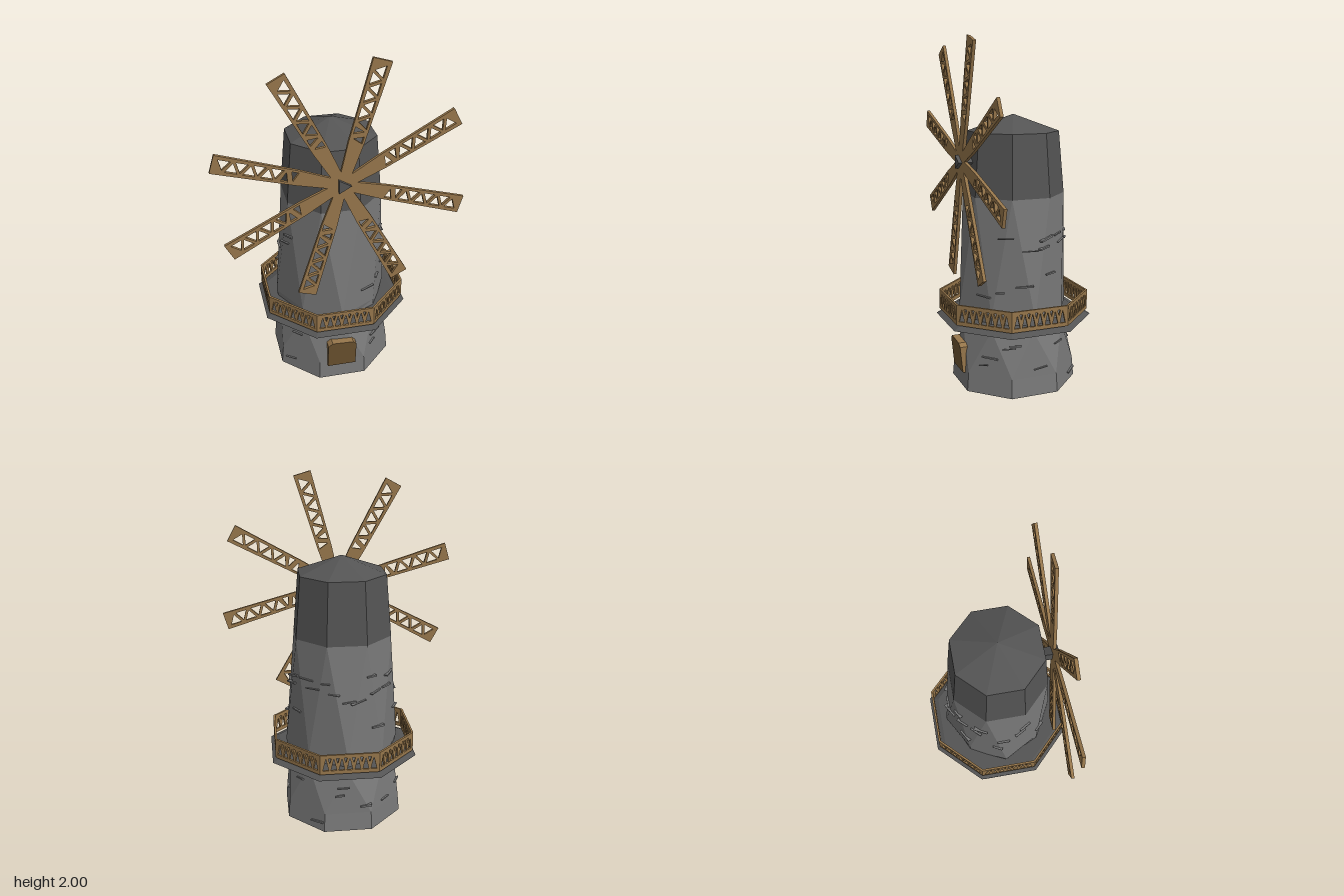
import * as THREE from 'three';

const flat = (name, color) => {
  const m = new THREE.MeshStandardMaterial({ color, flatShading: true });
  m.name = name;
  return m;
};

// Octagonal walls through rings [y, axisRadius, diagonalRadius, turn]; turn 0.5 puts a flat side forward
function ringWalls(rings) {
  const pos = [];
  const pt = ([y, ra, rd, turn], i) => {
    const a = (i + turn) * Math.PI / 4, r = i % 2 ? rd : ra;
    return [Math.sin(a) * r, y, Math.cos(a) * r];
  };
  const tri = (a, b, c) => pos.push(...a, ...b, ...c);
  for (let k = 0; k + 1 < rings.length; k++) {
    const lo = rings[k], hi = rings[k + 1];
    for (let i = 0; i < 8; i++) {
      const a = pt(lo, i), b = pt(lo, i + 1), c = pt(hi, i + 1), d = pt(hi, i);
      if (hi[3] > lo[3]) { tri(a, b, d); tri(b, c, d); }
      else { tri(a, b, c); tri(a, c, d); }
    }
  }
  for (let i = 0; i < 8; i++) tri(pt(rings[0], i + 1), pt(rings[0], i), [0, rings[0][0], 0]);
  const g = new THREE.BufferGeometry();
  g.setAttribute('position', new THREE.Float32BufferAttribute(pos, 3));
  g.computeVertexNormals();
  return g;
}

const octagon = (rTop, rBottom, h, y) =>
  new THREE.CylinderGeometry(rTop, rBottom, h, 8, 1, false, Math.PI / 8).translate(0, y + h / 2, 0);

const polygon = (points, Type = THREE.Shape) => new Type(points.map(([x, y]) => new THREE.Vector2(x, y)));

// Plate extruded along z, centred on its thickness
const plate = (shape, depth) =>
  new THREE.ExtrudeGeometry(shape, { depth, bevelEnabled: false }).translate(0, 0, -depth / 2);

export function createModel() {
  const model = new THREE.Group();
  model.name = 'windmill';
  const stone = flat('stone', 0x787878);
  const slate = flat('darkSlate', 0x545454);
  const wood = flat('wood', 0x96764b);
  const doorWood = flat('doorWood', 0x6c5330);

  const add = (name, geometry, material, parent = model) => {
    const mesh = new THREE.Mesh(geometry, material);
    mesh.name = name;
    parent.add(mesh);
    return mesh;
  };
  const group = (name) => {
    const g = new THREE.Group();
    g.name = name;
    model.add(g);
    return g;
  };

  // Faceted stone tower
  const tower = add('tower', ringWalls([
    [0, 0.365, 0.365, 0.5],
    [0.11, 0.355, 0.355, 0.5],
    [0.37, 0.315, 0.305, 0],
    [0.45, 0.335, 0.305, 0],
    [1.12, 0.292, 0.292, 0.5],
  ]), stone);

  // Dark cap and low roof
  add('cap', octagon(0.262, 0.293, 0.355, 1.12), slate);
  add('roof', octagon(0, 0.262, 0.095, 1.475), slate);

  // Gallery floor, thickest at the tower
  add('galleryTop', octagon(0.4, 0.458, 0.025, 0.385), slate);
  add('galleryUnderside', octagon(0.458, 0.37, 0.03, 0.355), slate);

  // Railing: eight lattice panels with triangular gaps
  const half = 0.168, railHeight = 0.118;
  const panel = polygon([[-half, 0], [half, 0], [half, railHeight], [-half, railHeight]]);
  const bays = 7, step = (half * 2 - 0.02) / bays;
  for (let i = 0; i < bays; i++) {
    const x = -half + 0.01 + (i + 0.5) * step;
    panel.holes.push(polygon([[x - 0.017, 0.022], [x, 0.096], [x + 0.017, 0.022]], THREE.Path));
    if (i < bays - 1) {
      const m = x + step / 2;
      panel.holes.push(polygon([[m - 0.009, 0.098], [m + 0.009, 0.098], [m, 0.066]], THREE.Path));
    }
  }
  const panelGeometry = plate(panel, 0.012).translate(0, 0.415, 0.4);
  const railing = group('railing');
  for (let i = 0; i < 8; i++) {
    add('railingPanel', panelGeometry, wood, railing).rotation.y = i * Math.PI / 4;
  }

  // Eight lattice sails around the axle
  const sail = polygon([[0, -0.026], [0.25, -0.043], [0.705, -0.052], [0.705, 0.052], [0.25, 0.043], [0, 0.026]]);
  for (let i = 0; i < 9; i++) {
    const x = 0.27 + i * 0.047, s = i % 2 ? 1 : -1, w = i < 2 ? 0.02 : 0.033;
    sail.holes.push(polygon([[x - w, s * 0.031], [x + w, s * 0.031], [x, -s * 0.024]], THREE.Path));
  }
  const sailGeometry = plate(sail, 0.018);
  const sails = group('sails');
  sails.position.set(-0.005, 1.308, 0.311);
  for (let i = 0; i < 8; i++) {
    add('sail', sailGeometry, wood, sails).rotation.z = THREE.MathUtils.degToRad(73.6) + i * Math.PI / 4;
  }
  add('axle', new THREE.CylinderGeometry(0.045, 0.04, 0.11, 3).rotateX(Math.PI / 2).rotateZ(Math.PI / 2), slate, sails)
    .position.z = -0.025;

  // Door: dark front, lighter edges
  const doorShape = polygon([[-0.09, 0.09], [0.08, 0.09], [0.08, 0.245], [0.06, 0.266], [-0.065, 0.272], [-0.09, 0.25]]);
  const doorGeometry = plate(doorShape, 0.05);
  const dp = doorGeometry.attributes.position;
  for (let i = 0; i < dp.count; i++) {
    // the door leans out slightly toward its top
    dp.setZ(i, dp.getZ(i) + 0.31 + 0.1 * dp.getY(i));
  }
  doorGeometry.computeVertexNormals();
  add('door', doorGeometry, [doorWood, wood]);

  // Thin stone slivers jutting from the wall
  let seed = 7;
  const random = () => (seed = (seed * 16807) % 2147483647) / 2147483647;
  const slivers = group('stoneSlivers');
  const ray = new THREE.Raycaster();
  tower.updateMatrixWorld();
  for (let i = 0; i < 40; i++) {
    const upper = i % 5 < 3;
    const angle = 0.6 + ((i * 0.618) % 1) * (Math.PI * 2 - 1.2);
    const y = upper ? 0.56 + random() * 0.37 : 0.03 + random() * 0.27;
    const out = new THREE.Vector3(Math.sin(angle), 0, Math.cos(angle));
    ray.set(out.clone().setY(y), out.clone().negate());
    const hit = ray.intersectObject(tower)[0];
    if (!hit) continue;
    const w = 0.05 + random() * 0.05, h = 0.007 + random() * 0.012;
    const wedge = plate(polygon([[-w / 2, 0], [w / 2, h * 0.3], [w / 2, h], [-w / 2, h * 0.5]]), 0.022);
    const sliver = add('stoneSliver', wedge, stone, slivers);
    sliver.position.copy(hit.point);
    sliver.lookAt(hit.point.clone().add(hit.face.normal));
    sliver.rotateZ((random() - 0.5) * 0.25);
  }
  return model;
}
